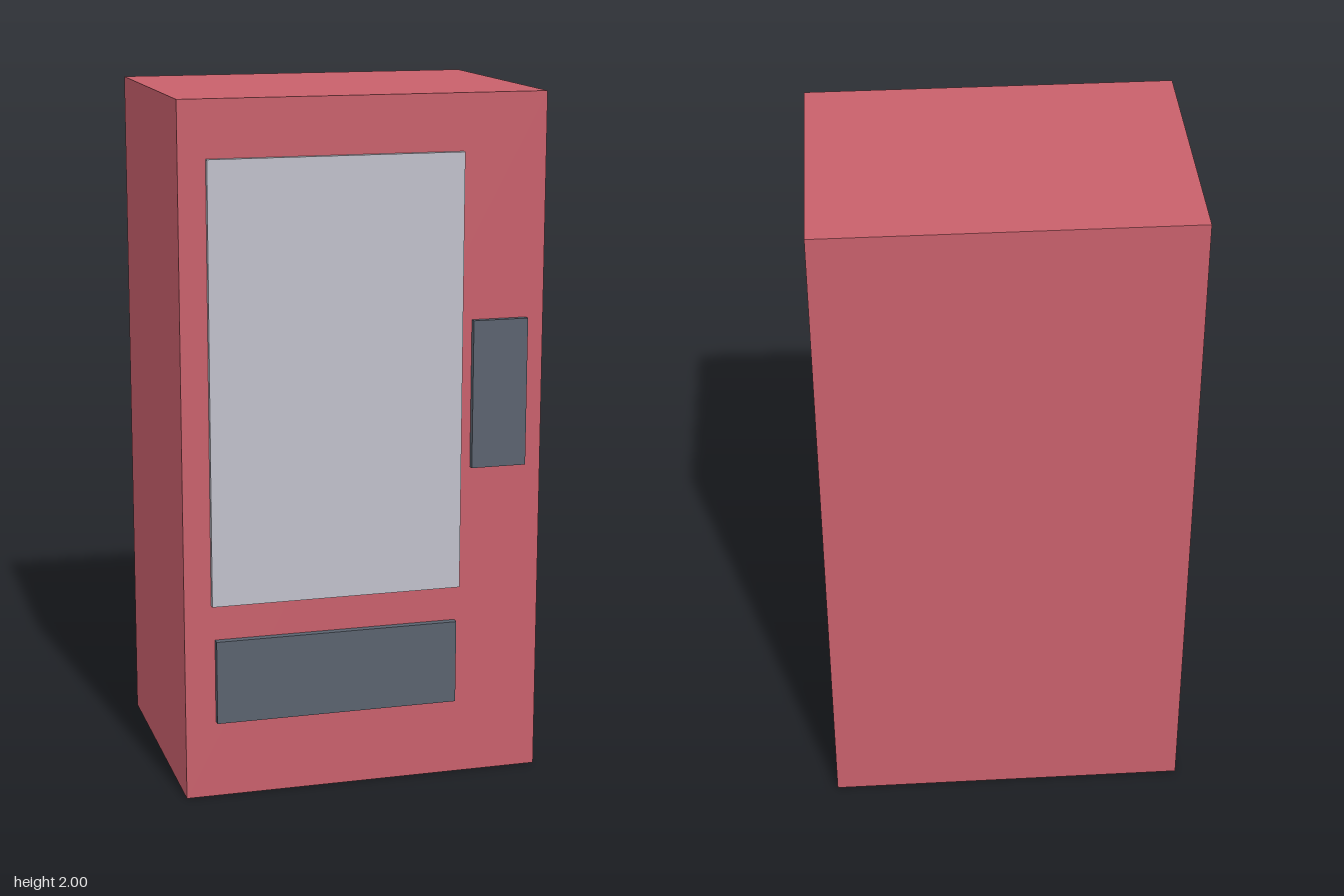
import * as THREE from 'three';

const material = (name, color) => {
  const m = new THREE.MeshStandardMaterial({ color });
  m.name = name;
  return m;
};

export function createModel() {
  const red = material('cabinet red', 0xc8606b);
  const glass = material('pale glass grey', 0xc0c0ca);
  const slate = material('dark slate', 0x5a626e);

  const group = new THREE.Group();
  group.name = 'vendingMachine';

  // Box given by its extents on each axis
  const addBox = (name, mat, [x0, x1], [y0, y1], [z0, z1]) => {
    const mesh = new THREE.Mesh(new THREE.BoxGeometry(x1 - x0, y1 - y0, z1 - z0), mat);
    mesh.position.set((x0 + x1) / 2, (y0 + y1) / 2, (z0 + z1) / 2);
    mesh.name = name;
    group.add(mesh);
  };

  const front = 0.385;

  // Cabinet
  addBox('cabinet', red, [-0.528, 0.528], [0, 2], [-0.407, front]);

  // Raised panels on the front, set slightly into the cabinet
  addBox('displayWindow', glass, [-0.45, 0.283], [0.575, 1.838], [front - 0.01, 0.402]);
  addBox('deliverySlot', slate, [-0.44, 0.273], [0.227, 0.472], [front - 0.01, 0.407]);
  addBox('controlPanel', slate, [0.315, 0.477], [0.93, 1.36], [front - 0.01, 0.404]);

  return group;
}
